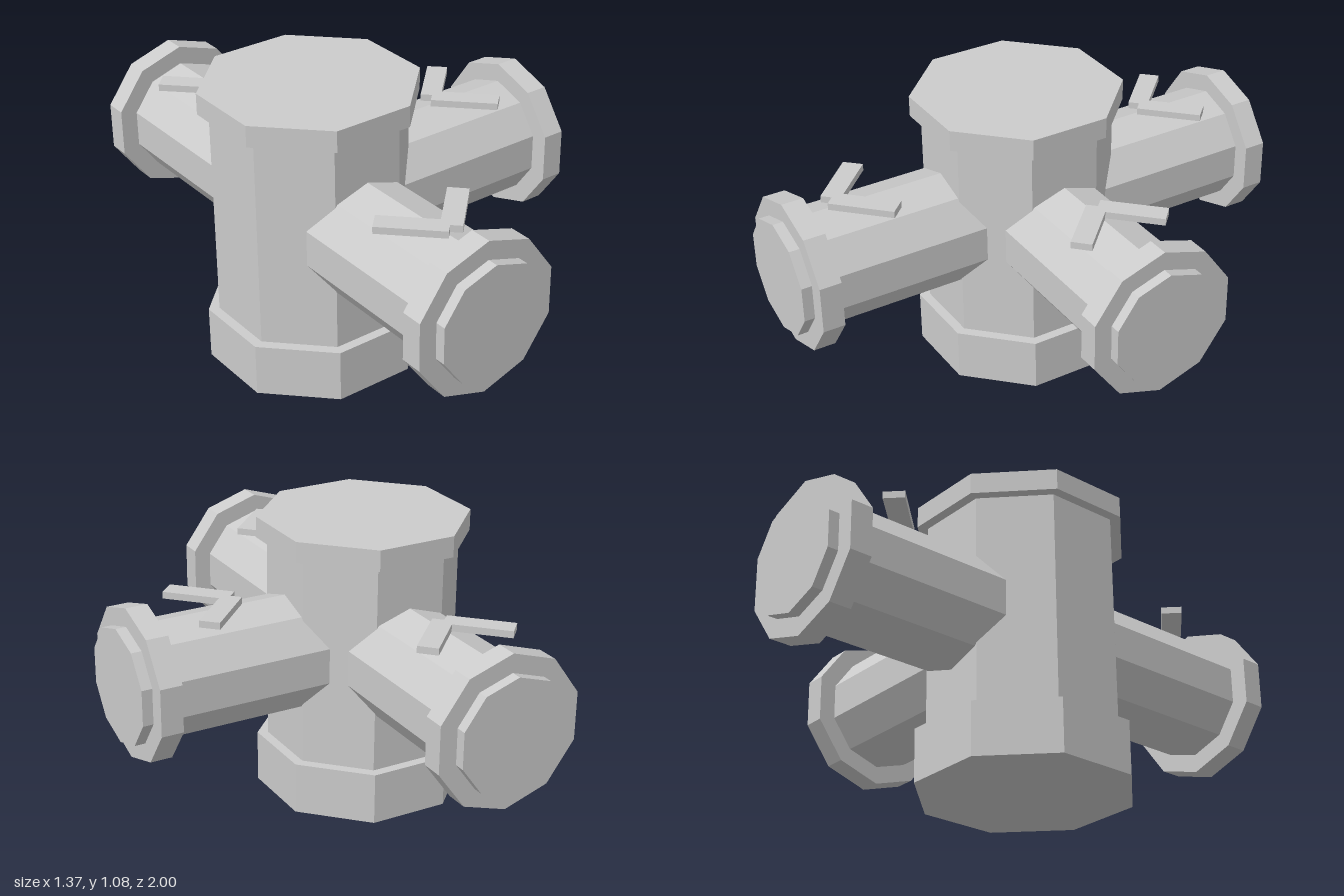
import * as THREE from 'three';

const material = new THREE.MeshStandardMaterial({ color: 0xcccccc, flatShading: true });
const AXIS_X = -0.317; // vertical body axis
const PIPE_Y = 0.6; // height of the side pipes

function part(name, geometry) {
  const mesh = new THREE.Mesh(geometry, material);
  mesh.name = name;
  return mesh;
}

// Upright octagonal prism with flats facing the axes, given by its half width
function octagon(name, halfWidth, y0, y1) {
  const r = halfWidth / Math.cos(Math.PI / 8);
  const geometry = new THREE.CylinderGeometry(r, r, y1 - y0, 8, 1, false, Math.PI / 8);
  return part(name, geometry.translate(AXIS_X, (y0 + y1) / 2, 0));
}

// Ten-sided prism lying along z, with a corner at the top
function decagon(name, r, z0, z1) {
  const geometry = new THREE.CylinderGeometry(r, r, z1 - z0, 10);
  return part(name, geometry.rotateX(-Math.PI / 2).translate(0, 0, (z0 + z1) / 2));
}

// Flat V-shaped flow arrow, its tip towards +z
function chevron() {
  const half = [[0.152, -0.09], [0.205, -0.035], [0.03, 0.139]];
  const points = [
    [0, 0.062], ...half, [0, 0.109],
    ...half.map(([x, z]) => [-x, z]).reverse(),
  ].map(([x, z]) => new THREE.Vector2(x, z));
  const geometry = new THREE.ExtrudeGeometry(new THREE.Shape(points), { depth: 0.026, bevelEnabled: false });
  return part('flowArrow', geometry.rotateX(Math.PI / 2));
}

// Side pipe with its flange and arrow, built along +z and then turned
function branch(name, turn, arrowOutward) {
  const group = new THREE.Group();
  group.name = name;
  const arrow = chevron();
  arrow.position.set(0, 0.258, 0.66);
  arrow.rotation.y = arrowOutward ? 0 : Math.PI;
  group.add(
    decagon('pipe', 0.22, 0.1, 1),
    decagon('flange', 0.29, 0.876, 0.96),
    arrow,
  );
  group.position.set(AXIS_X, PIPE_Y, 0);
  group.rotation.y = turn;
  return group;
}

export function createModel() {
  const model = new THREE.Group();
  model.name = 'pipeJunction';

  // Central column
  model.add(
    octagon('base', 0.368, 0, 0.2),
    octagon('body', 0.331, 0.2, 1),
    octagon('topCap', 0.368, 1, 1.08),
  );

  // One outlet at the front, two inlets at the side and back
  model.add(
    branch('frontBranch', 0, true),
    branch('leftBranch', Math.PI / 2, false),
    branch('backBranch', Math.PI, false),
  );
  return model;
}
